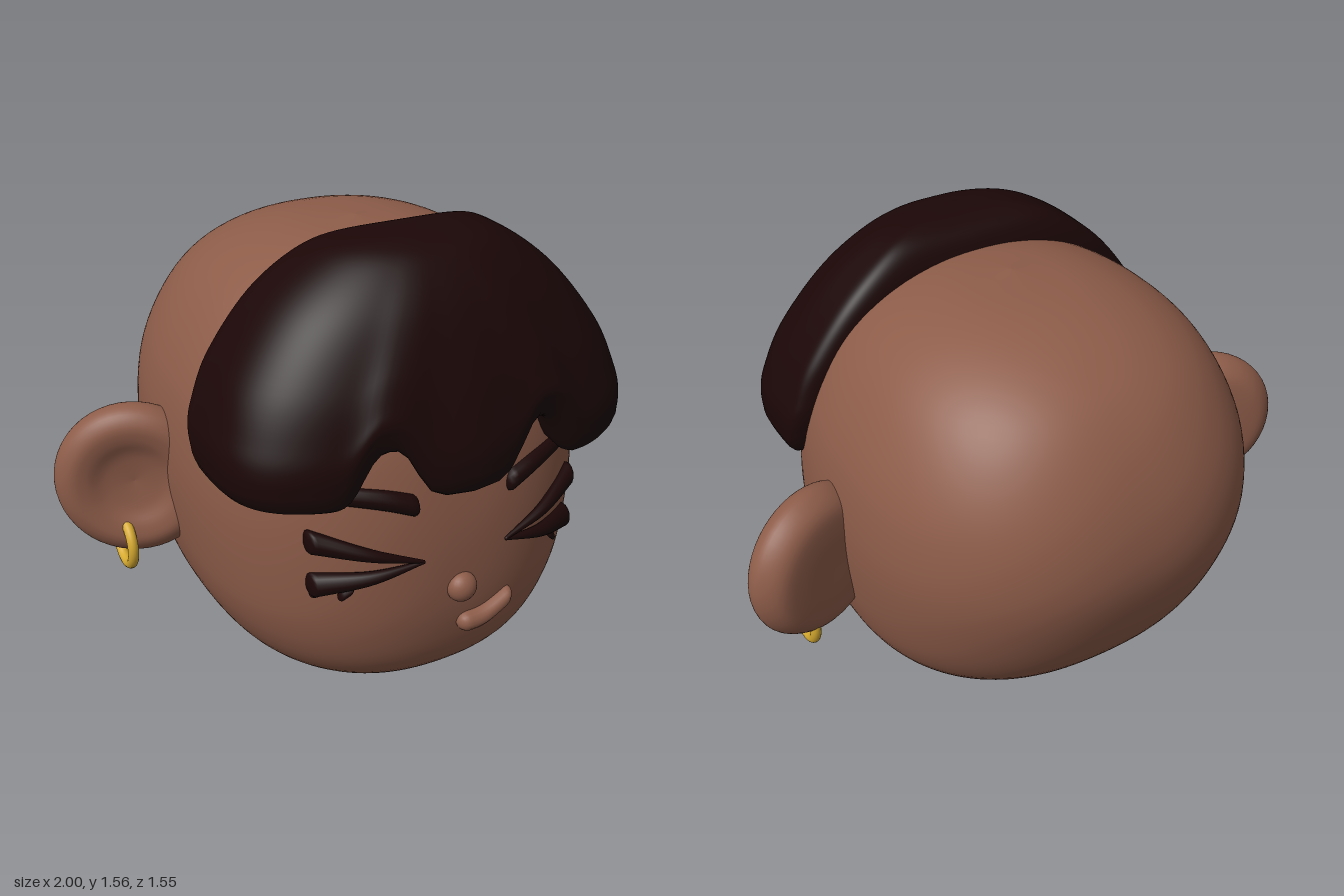
import * as THREE from 'three';

const mat = (name, color) => Object.assign(new THREE.MeshStandardMaterial({ color }), { name });
const skin = mat('skin', 0x8d5c49);
const dark = mat('dark hair', 0x1b0606);
const gold = mat('gold', 0xd6aa30);

function add(parent, name, geometry, material) {
  const mesh = new THREE.Mesh(geometry, material);
  mesh.name = name;
  parent.add(mesh);
  return mesh;
}

// Smooth surface through closed rings of [x, y, z] points
function loft(rings) {
  const n = rings[0].length, index = [];
  for (let j = 0; j < rings.length - 1; j++) {
    for (let i = 0; i < n; i++) {
      const a = j * n + i, b = j * n + (i + 1) % n, c = a + n, d = b + n;
      index.push(a, c, b, b, c, d);
    }
  }
  const g = new THREE.BufferGeometry();
  g.setAttribute('position', new THREE.Float32BufferAttribute(rings.flat(2), 3));
  g.setIndex(index);
  g.computeVertexNormals();
  return g;
}

// Smooth sampling of a table of [y, halfWidth, zFront, zBack]
function sampleProfile(table, count) {
  const curve = (k) => new THREE.CatmullRomCurve3(
    table.map((r) => new THREE.Vector3(r[1], r[0], r[k])), false, 'catmullrom', 0.5);
  const front = curve(2), back = curve(3);
  return Array.from({ length: count + 1 }, (_, j) => {
    const f = front.getPoint(j / count), b = back.getPoint(j / count);
    return { y: f.y, w: Math.max(f.x, 0), zf: f.z, zb: b.z };
  });
}

const pw = (v, n) => Math.sign(v) * Math.abs(v) ** (2 / n);

// Point on a superellipse ring with separate front and back roundness
function ringPoint(p, angle, mid, nFront, nBack) {
  const c = Math.cos(angle), s = Math.sin(angle), n = s > 0 ? nFront : nBack;
  const zc = p.zb + (p.zf - p.zb) * mid;
  return [p.w * pw(c, n), p.y, zc + (s > 0 ? p.zf - zc : zc - p.zb) * pw(s, n)];
}

const SEG = 160;
const angles = Array.from({ length: SEG }, (_, i) => (i / SEG) * Math.PI * 2);

function headGeometry() {
  const profile = sampleProfile([
    [0.003, 0, 0.13, 0.13], [0.02, 0.17, 0.31, -0.05], [0.08, 0.345, 0.475, -0.255],
    [0.2, 0.51, 0.612, -0.435], [0.375, 0.618, 0.675, -0.6], [0.59, 0.666, 0.698, -0.715],
    [0.82, 0.678, 0.695, -0.777], [1.05, 0.645, 0.66, -0.75], [1.26, 0.545, 0.56, -0.645],
    [1.39, 0.41, 0.42, -0.495], [1.467, 0.225, 0.22, -0.28], [1.49, 0, 0, 0],
  ], 66);
  // Rings are squarer at the cheeks and rounder towards crown and chin
  return loft(profile.map((p) => {
    const n = 2.05 + 0.35 * p.w / 0.678;
    return angles.map((a) => ringPoint(p, a, 0.5, n, n));
  }));
}

// Lower edge of the hair: two arches in the fringe, rounded rear corners
function rimHeight(x, z) {
  const arch = z > 0.4 ? 0.165 * Math.exp(-((Math.abs(Math.abs(x) - 0.27) / 0.1) ** 2.8)) : 0;
  const corner = THREE.MathUtils.clamp((0.31 - z) / 0.12, 0, 1);
  return 0.861 + arch + 0.09 * corner * corner;
}

function hairGeometry() {
  const profile = sampleProfile([
    [0.9, 0.682, 0.722, 0.182], [0.97, 0.686, 0.728, 0.172], [1.05, 0.671, 0.718, 0.168],
    [1.2, 0.612, 0.685, 0.166], [1.38, 0.478, 0.622, 0.174], [1.5, 0.325, 0.54, 0.212],
    [1.55, 0.19, 0.455, 0.28], [1.565, 0, 0.37, 0.37],
  ], 49);
  const base = profile[0], top = 1.565;
  // Outline with a broad fringe and a fuller middle lock, both fading upwards
  const point = (p, a) => {
    const low = (top - p.y) / (top - base.y);
    const [x, y, z] = ringPoint(p, a, 0.3, 2.4 + 0.8 * low, 6);
    const bulge = z > 0.4 ? 0.048 * Math.exp(-((x / 0.15) ** 2)) : 0;
    return [x, y, z + bulge * low];
  };
  // Rolled-under edge: [scale, height above the rim]
  const under = [[0.8, 0.04], [0.88, 0.005], [0.925, 0], [0.96, 0.01], [0.985, 0.03]].map(([s, h]) =>
    angles.map((a) => {
      const [x, , z] = point(base, a);
      return [x * s, rimHeight(x, z) + h, 0.37 + (z - 0.37) * s];
    }));
  const shell = profile.map((p) => angles.map((a) => {
    const [bx, , bz] = point(base, a), [x, y, z] = point(p, a);
    const lift = rimHeight(bx, bz) + 0.057 - base.y;
    return [x, y + lift * ((top - y) / (top - base.y)) ** 2, z];
  }));
  return loft([...under, ...shell]);
}

// Tapered strand running mainly along x; cap sets how long the rounded ends are
function strand(points, r0, r1, cap = 1) {
  const pts = points.map((p) => new THREE.Vector3(...p));
  let [ra, rb] = [r0, r1];
  if (pts[0].x > pts[pts.length - 1].x) {
    pts.reverse();
    [ra, rb] = [rb, ra];
  }
  const curve = new THREE.CatmullRomCurve3(pts), rings = [], steps = 24;
  const length = curve.getLength();
  for (let j = 0; j <= steps; j++) {
    const t = (1 - Math.cos((j / steps) * Math.PI)) / 2, p = curve.getPointAt(t);
    const base = ra + (rb - ra) * t;
    const end = Math.min(1, (Math.min(t, 1 - t) * length) / (base * cap));
    const r = base * Math.sqrt(1 - (1 - end) ** 2);
    rings.push(Array.from({ length: 14 }, (_, i) => {
      const a = (i / 14) * Math.PI * 2;
      return [p.x, p.y + r * Math.sin(a), p.z + r * Math.cos(a)];
    }));
  }
  return loft(rings);
}

// Face depth at a given x
const faceZ = (x) => -0.04 + 0.738 * (1 - (Math.abs(x) / 0.675) ** 2.4) ** (1 / 2.4);
const onFace = (side, lift, list) => list.map(([x, y]) => [side * x, y, faceZ(x) + lift]);

// Round ear with a shallow hollow in front
function earGeometry() {
  const outline = [[0, -0.08], [0.13, -0.08], [0.21, -0.064], [0.252, -0.005], [0.242, 0.046],
    [0.2, 0.074], [0.15, 0.07], [0.09, 0.048], [0, 0.036]];
  const curve = new THREE.SplineCurve(outline.map(([r, h]) => new THREE.Vector2(r, h)));
  const pts = curve.getPoints(40).map((p) => new THREE.Vector2(Math.max(p.x, 0), p.y));
  return new THREE.LatheGeometry(pts, 48).rotateX(Math.PI / 2);
}

export function createModel() {
  const model = new THREE.Group();
  model.name = 'characterHead';
  add(model, 'head', headGeometry(), skin);
  add(model, 'hair', hairGeometry(), dark);

  // Nose and crooked smile
  const nose = add(model, 'nose', new THREE.SphereGeometry(0.049, 24, 16), skin);
  nose.scale.z = 0.85;
  nose.position.set(0, 0.51, 0.697);
  add(model, 'mouth', strand([[0, 0.365, 0.68], [0.08, 0.37, 0.682], [0.14, 0.395, 0.68],
    [0.195, 0.425, 0.675]], 0.034, 0.031), skin);

  for (const side of [-1, 1]) {
    const label = side > 0 ? 'left' : 'right';

    const ear = add(model, label + 'Ear', earGeometry(), skin);
    ear.position.set(side * 0.757, 0.715, -0.07);
    ear.rotation.y = side * 0.37;
    ear.scale.y = 1.02;

    const ring = add(model, label + 'Earring', new THREE.TorusGeometry(0.078, 0.0175, 16, 48), gold);
    ring.position.set(side * 0.81, 0.495, -0.06);
    ring.rotation.y = Math.PI / 2;

    add(model, label + 'Eyebrow', strand(onFace(side, -0.012,
      [[0.15, 0.822], [0.25, 0.855], [0.38, 0.876], [0.48, 0.876], [0.57, 0.87]]), 0.038, 0.02, 0.6), dark);

    // Squeezed-shut eye with small lashes
    add(model, label + 'UpperEyeLine', strand(onFace(side, 0.02,
      [[0.465, 0.733], [0.3, 0.69], [0.14, 0.645]]), 0.04, 0.005, 0.3), dark);
    add(model, label + 'LowerEyeLine', strand(onFace(side, 0.02,
      [[0.46, 0.583], [0.3, 0.613], [0.14, 0.645]]), 0.04, 0.005, 0.3), dark);
    [[0.345, 0.58, 0.385, 0.543], [0.41, 0.575, 0.455, 0.55]].forEach(([x0, y0, x1, y1], i) =>
      add(model, label + 'Lash' + (i + 1),
        strand(onFace(side, 0.015, [[x0, y0], [x1, y1]]), 0.016, 0.016), dark));
  }
  return model;
}
